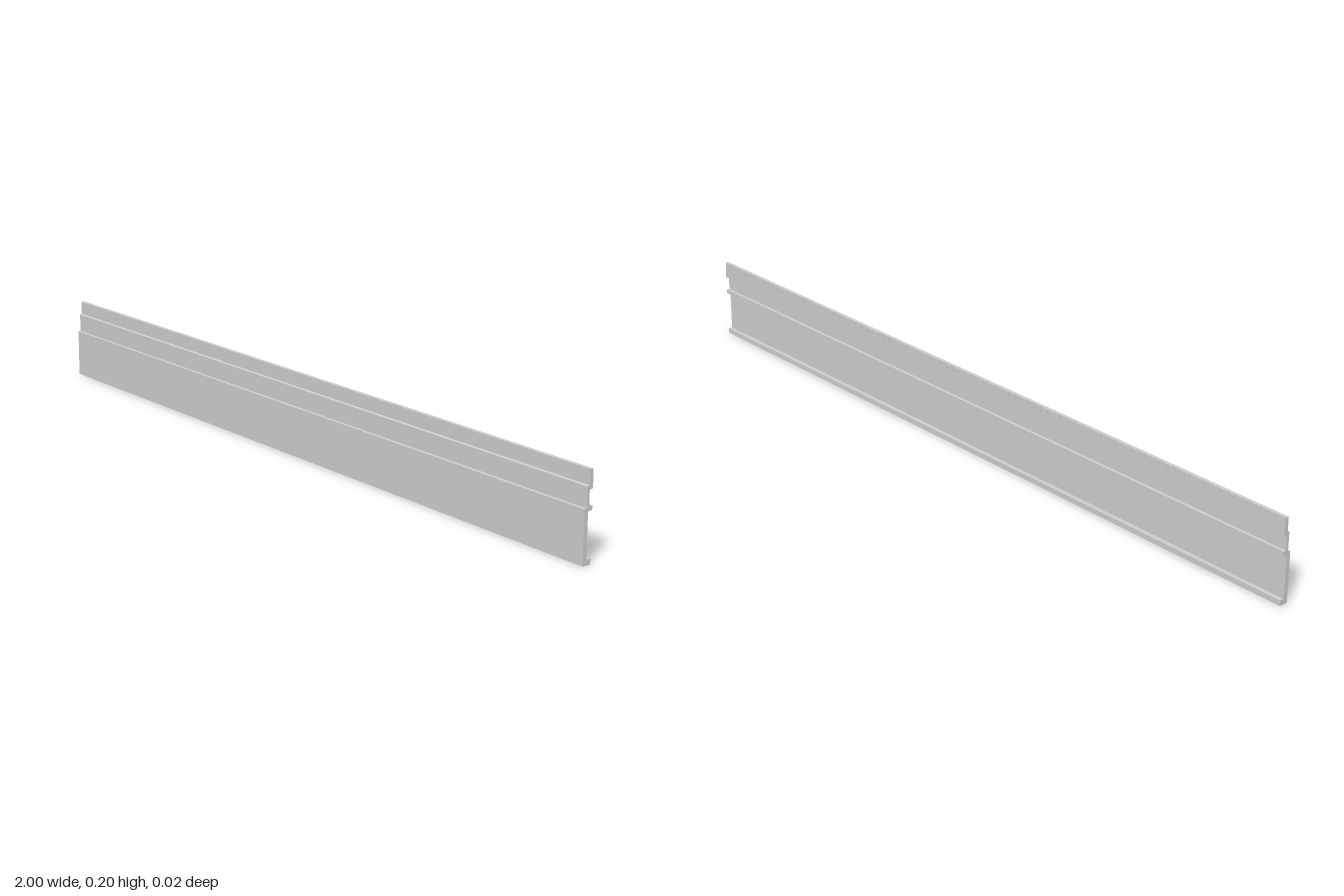
import * as THREE from 'three';
import { mergeGeometries } from 'three/addons/utils/BufferGeometryUtils.js';

const LENGTH = 2;
const BACK = -0.0105; // rearmost z
const GROOVE = 0.0007; // depth of the grooves behind the nailing flange

// Cross-section as [z, y], once round from the bottom front edge
const SECTION = [
  [0.0105, 0], [0.0105, 0.119], [0.0095, 0.12], // face board
  [0.004, 0.12], [0.004, 0.165], [0.003, 0.166], // stepped middle band
  [-0.001, 0.167], [-0.001, 0.2], // nailing flange front
  [BACK + GROOVE, 0.2], [BACK + GROOVE, 0.185], [BACK, 0.185],
  [BACK, 0.159], [-0.007, 0.159], [-0.002, 0.156], // flange underside
  [-0.002, 0.124], [BACK, 0.124], [BACK, 0.114], // upper rear lip
  [-0.004, 0.114], [0.0005, 0.112],
  [0.0005, 0.0125], [BACK, 0.0125], [BACK, 0], // lower rear lip
];

export function createModel() {
  const group = new THREE.Group();
  group.name = 'sidingPlank';
  const material = new THREE.MeshStandardMaterial({ color: 0xcccccc });

  // Plank: the section pulled along x
  const shape = new THREE.Shape(SECTION.map(([z, y]) => new THREE.Vector2(-z, y)));
  const plankGeometry = new THREE.ExtrudeGeometry(shape, { depth: LENGTH, bevelEnabled: false });
  plankGeometry.translate(0, 0, -LENGTH / 2).rotateY(Math.PI / 2);
  const plank = new THREE.Mesh(plankGeometry, material);
  plank.name = 'plank';
  group.add(plank);

  // Raised pads along the flange back, leaving narrow upright grooves between them
  const count = 90, pitch = LENGTH / count, gap = 0.004;
  const pads = [];
  for (let i = 0; i < count; i++) {
    const pad = new THREE.BoxGeometry(pitch - gap, 0.015, GROOVE);
    pad.translate(-LENGTH / 2 + (i + 0.5) * pitch, 0.1925, BACK + GROOVE / 2);
    pads.push(pad);
  }
  const flangePads = new THREE.Mesh(mergeGeometries(pads), material);
  flangePads.name = 'flangePads';
  group.add(flangePads);

  return group;
}
